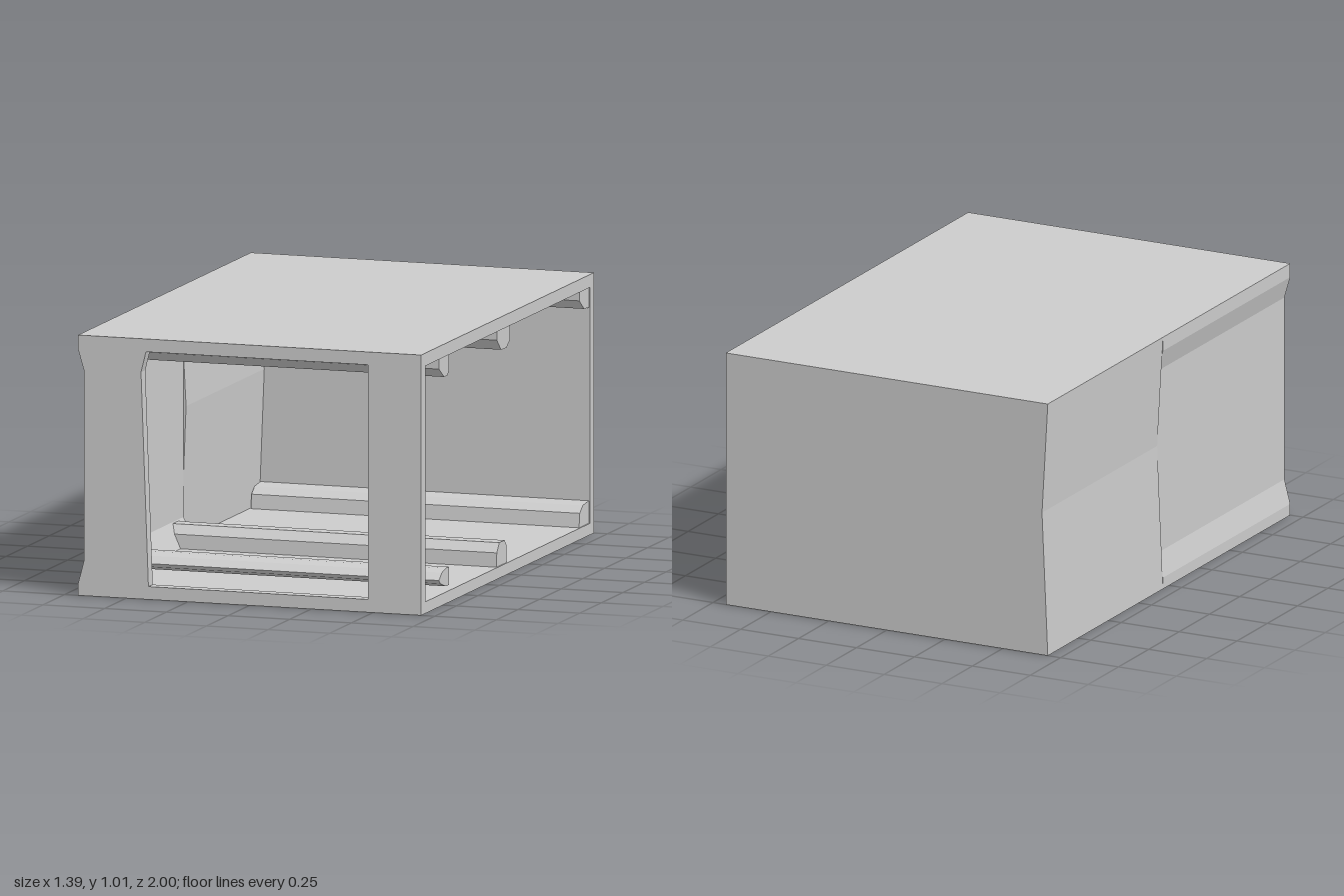
import * as THREE from 'three';

const W = 0.695, H = 1.01, FLOOR = 0.045, CEIL = 0.96;
const FRONT = 0.95, BACK = -0.955, SEAM = -0.05;

const material = new THREE.MeshStandardMaterial({ color: 0xcccccc, flatShading: true, side: THREE.DoubleSide });

const toShape = (points) => new THREE.Shape(points.map(([x, y]) => new THREE.Vector2(x, y)));

// Extrude an x/y outline between two depths
function slab(name, points, z0, z1, hole) {
  const shape = toShape(points);
  if (hole) shape.holes.push(new THREE.Path(hole.map(([x, y]) => new THREE.Vector2(x, y))));
  const geometry = new THREE.ExtrudeGeometry(shape, { depth: z1 - z0, bevelEnabled: false });
  geometry.translate(0, 0, z0);
  const mesh = new THREE.Mesh(geometry, material);
  mesh.name = name;
  return mesh;
}

// Extrude a z/y cross-section along x
function beam(name, section, x0 = -0.64, x1 = 0.69) {
  const shape = toShape(section.map(([z, y]) => [-z, y]));
  const geometry = new THREE.ExtrudeGeometry(shape, { depth: x1 - x0, bevelEnabled: false });
  geometry.rotateY(Math.PI / 2);
  geometry.translate(x0, 0, 0);
  const mesh = new THREE.Mesh(geometry, material);
  mesh.name = name;
  return mesh;
}

export function createModel() {
  const group = new THREE.Group();
  group.name = 'openBoxFrame';

  // Dented outer edges of the closed side, top to bottom
  const frontEdge = [[-W, H], [-W, 0.955], [-0.67, 0.87], [-0.67, 0.14], [-W, 0.045], [-W, 0]];
  const backEdge = [[-W, H], [-0.67, 0.57], [-W, 0]];
  // Matching inner edges, bottom to top
  const frontInner = [[-0.59, FLOOR], [-0.635, 0.14], [-0.635, 0.87], [-0.59, CEIL]];
  const backInner = [[-0.645, FLOOR], [-0.625, 0.57], [-0.645, CEIL]];

  // Floor, closed side and roof as two C-shaped sections
  const channel = (outer, inner) => [...outer, [W, 0], [W, FLOOR], ...inner, [W, CEIL], [W, H]];
  group.add(slab('frontShell', channel(frontEdge, frontInner), SEAM, FRONT));
  group.add(slab('rearShell', channel(backEdge, backInner), BACK, SEAM));

  // End panels: window at the front, solid at the back
  const opening = [[-0.41, 0.05], [0.48, 0.05], [0.48, CEIL], [-0.42, CEIL], [-0.44, 0.88]];
  group.add(slab('frontPanel', [...frontEdge, [W, 0], [W, H]], FRONT, 1, opening));
  group.add(slab('backPanel', [...backEdge, [W, 0], [W, H]], -1, BACK));

  // Cross beams on the floor
  group.add(beam('frontFloorBeam', [[0.78, 0.10], [0.745, 0.125], [0.70, 0.135], [0.665, 0.135], [0.665, 0.065], [0.70, 0.065], [0.765, 0.085]]));
  group.add(beam('middleFloorBeam', [[0.115, 0.03], [0.11, 0.10], [0.08, 0.135], [0.02, 0.135], [0, 0.115], [0, 0.03]]));
  group.add(beam('rearFloorBeam', [[-0.84, 0.03], [-0.85, 0.10], [-0.885, 0.125], [-0.985, 0.135], [-0.985, 0.03]]));

  // Cross beams under the roof
  group.add(beam('frontRoofBeam', [[0.78, 0.97], [0.78, 0.92], [0.72, 0.88], [0.68, 0.88], [0.665, 0.895], [0.665, 0.97]]));
  group.add(beam('middleRoofBeam', [[0.11, 0.97], [0.11, 0.925], [0.06, 0.88], [0, 0.878], [-0.04, 0.90], [-0.045, 0.97]]));
  group.add(beam('rearRoofBeam', [[-0.845, 0.97], [-0.845, 0.925], [-0.9, 0.885], [-0.985, 0.88], [-0.985, 0.97]]));

  return group;
}
